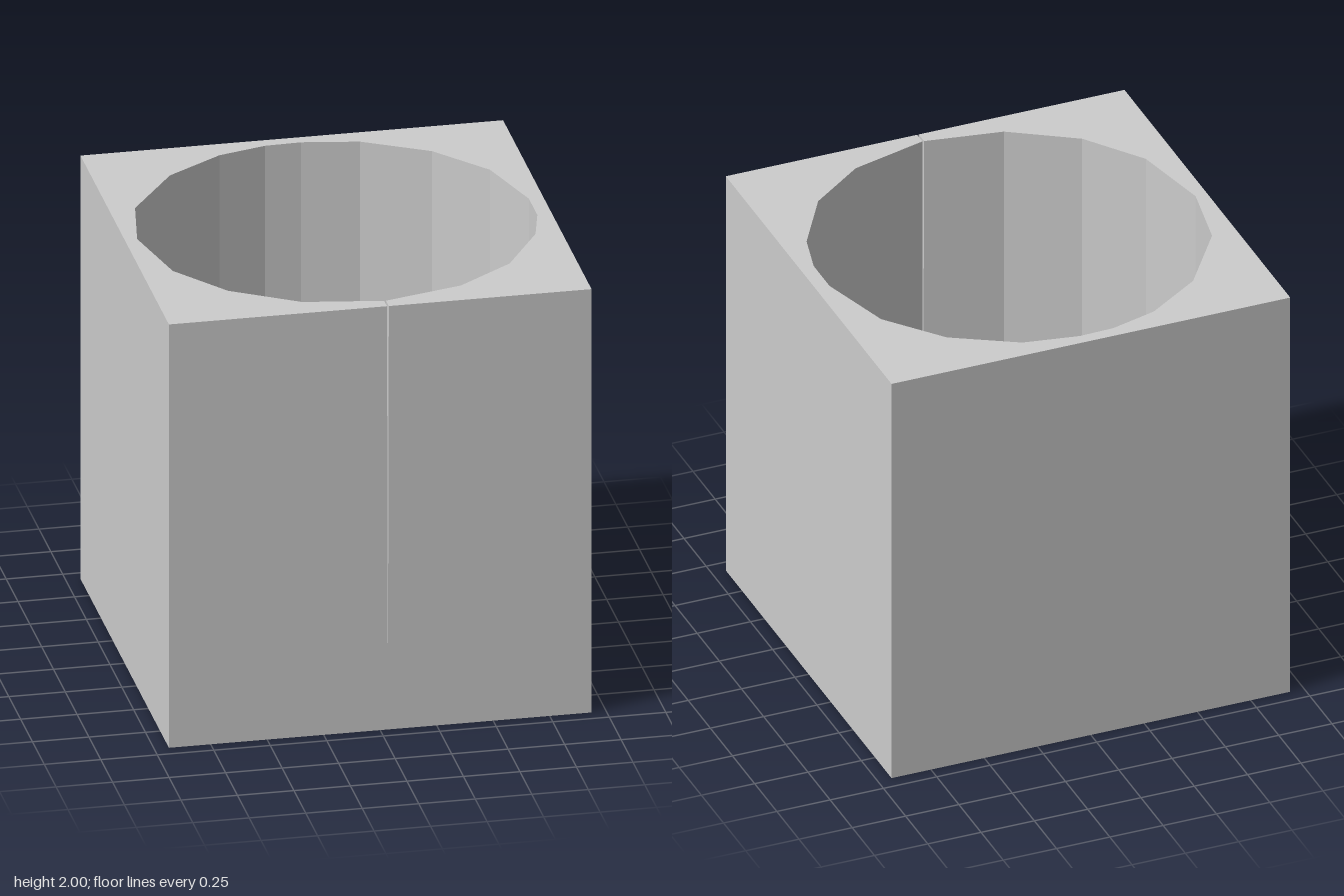
import * as THREE from 'three';

const HALF = 0.935, HEIGHT = 2, FLOOR = 0.06;
const SLIT_X = 0.034, SLIT_HALF = 0.004;

// Irregular faceted bore as [x, z], running from one side of the slit round to the other
const BORE = [
  [SLIT_X + SLIT_HALF, 0.875], [0.39, 0.78], [0.645, 0.59], [0.82, 0.3], [0.87, 0.1],
  [0.87, -0.08], [0.77, -0.42], [0.565, -0.67], [0.28, -0.835], [0.03, -0.88],
  [-0.13, -0.875], [-0.345, -0.815], [-0.6, -0.645], [-0.82, -0.33], [-0.88, 0],
  [-0.8, 0.37], [-0.61, 0.63], [-0.32, 0.815], [SLIT_X - SLIT_HALF, 0.875],
];

export function createModel() {
  const group = new THREE.Group();
  group.name = 'squareContainer';
  const material = new THREE.MeshStandardMaterial({ color: 0xcccccc, flatShading: true });

  // Square wall with the bore, split at the front by a hairline slit
  const outline = [
    ...BORE,
    [SLIT_X - SLIT_HALF, HALF], [-HALF, HALF], [-HALF, -HALF],
    [HALF, -HALF], [HALF, HALF], [SLIT_X + SLIT_HALF, HALF],
  ].map(([x, z]) => new THREE.Vector2(x, -z));
  const wallGeometry = new THREE.ExtrudeGeometry(new THREE.Shape(outline), {
    depth: HEIGHT - FLOOR, bevelEnabled: false,
  });
  wallGeometry.rotateX(-Math.PI / 2).translate(0, FLOOR, 0);

  // Taper the slit to nothing at the floor
  const p = wallGeometry.attributes.position;
  for (let i = 0; i < p.count; i++) {
    const offset = p.getX(i) - SLIT_X;
    if (p.getZ(i) > 0.8 && Math.abs(offset) < SLIT_HALF * 1.5) {
      p.setX(i, SLIT_X + offset * (p.getY(i) - FLOOR) / (HEIGHT - FLOOR));
    }
  }
  wallGeometry.computeVertexNormals();
  const wall = new THREE.Mesh(wallGeometry, material);
  wall.name = 'wall';

  // Closed floor
  const floor = new THREE.Mesh(new THREE.BoxGeometry(HALF * 2, FLOOR, HALF * 2), material);
  floor.name = 'floor';
  floor.position.y = FLOOR / 2;

  group.add(wall, floor);
  return group;
}
